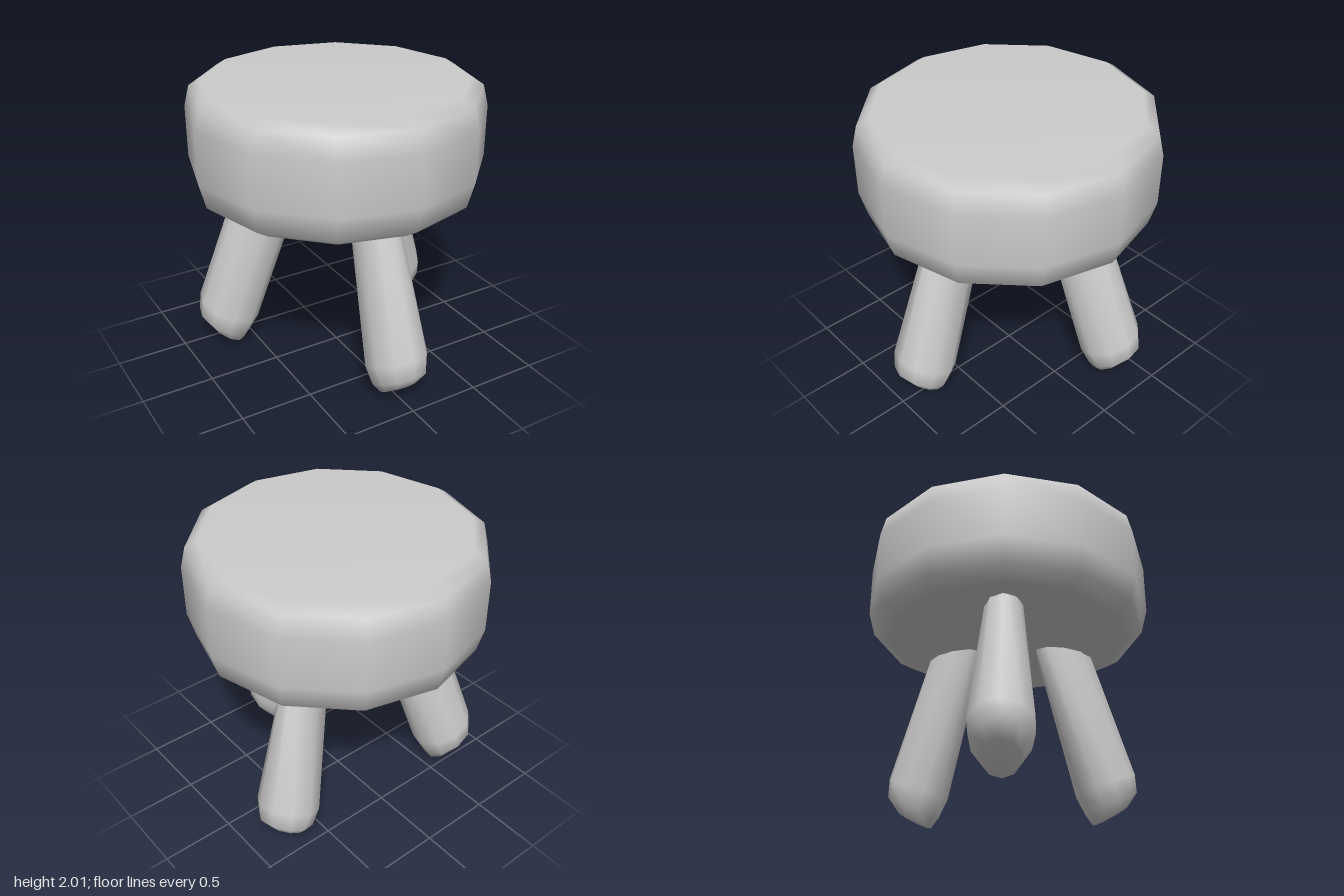
import * as THREE from 'three';

const material = new THREE.MeshStandardMaterial({ color: 0xcccccc });

// Thick twelve-sided cushion with chamfered rims
function createSeat() {
  const profile = [
    [0, 1.22], [0.84, 1.22], [0.95, 1.29], [0.995, 1.46],
    [0.995, 1.81], [0.96, 1.95], [0.88, 2], [0, 2],
  ].map(([r, y]) => new THREE.Vector2(r, y));
  const seat = new THREE.Mesh(new THREE.LatheGeometry(profile, 12), material);
  seat.name = 'seat';
  return seat;
}

// Leg lofted from elliptical rings along an axis that splays towards +z
function createLegGeometry() {
  const sides = 10;
  const splay = Math.atan(0.34);
  const c = Math.cos(splay), s = Math.sin(splay);
  // distance along axis, radial radius, sideways radius, radial offset, end slant
  const rings = [
    [-0.2, 0, 0, 0, 0],
    [-0.2, 0.215, 0.115, 0, 0],
    [0.99, 0.225, 0.212, 0, 0.1],
    [1.12, 0.2, 0.185, 0, 0.15],
    [1.2, 0.14, 0.12, -0.04, 0.25],
    [1.185, 0, 0, -0.04, 0], // slightly dished foot
  ];
  const positions = [], indices = [];
  rings.forEach(([t0, ru, rv, offset, slant], j) => {
    for (let i = 0; i < sides; i++) {
      const a = (i / sides) * Math.PI * 2;
      const u = offset + ru * Math.cos(a);
      const t = t0 - slant * (u - offset);
      positions.push(rv * Math.sin(a), 1.22 + u * s - t * c, 0.465 + u * c + t * s);
      if (j === rings.length - 1) continue;
      const p = j * sides + i, q = j * sides + (i + 1) % sides;
      if (j < rings.length - 2) indices.push(p, p + sides, q + sides);
      else indices.push(p, (j + 1) * sides, q);
      if (j > 0 && j < rings.length - 2) indices.push(p, q + sides, q);
    }
  });
  const geometry = new THREE.BufferGeometry();
  geometry.setAttribute('position', new THREE.Float32BufferAttribute(positions, 3));
  geometry.setIndex(indices);
  geometry.computeVertexNormals();
  return geometry;
}

export function createModel() {
  const model = new THREE.Group();
  model.name = 'stool';
  model.add(createSeat());

  // Three splayed legs around the seat
  const legGeometry = createLegGeometry();
  const legs = [['frontLeg', 0], ['backLeftLeg', 115], ['backRightLeg', -121.5]];
  for (const [name, degrees] of legs) {
    const leg = new THREE.Mesh(legGeometry, material);
    leg.name = name;
    leg.rotation.y = THREE.MathUtils.degToRad(degrees);
    model.add(leg);
  }
  return model;
}
